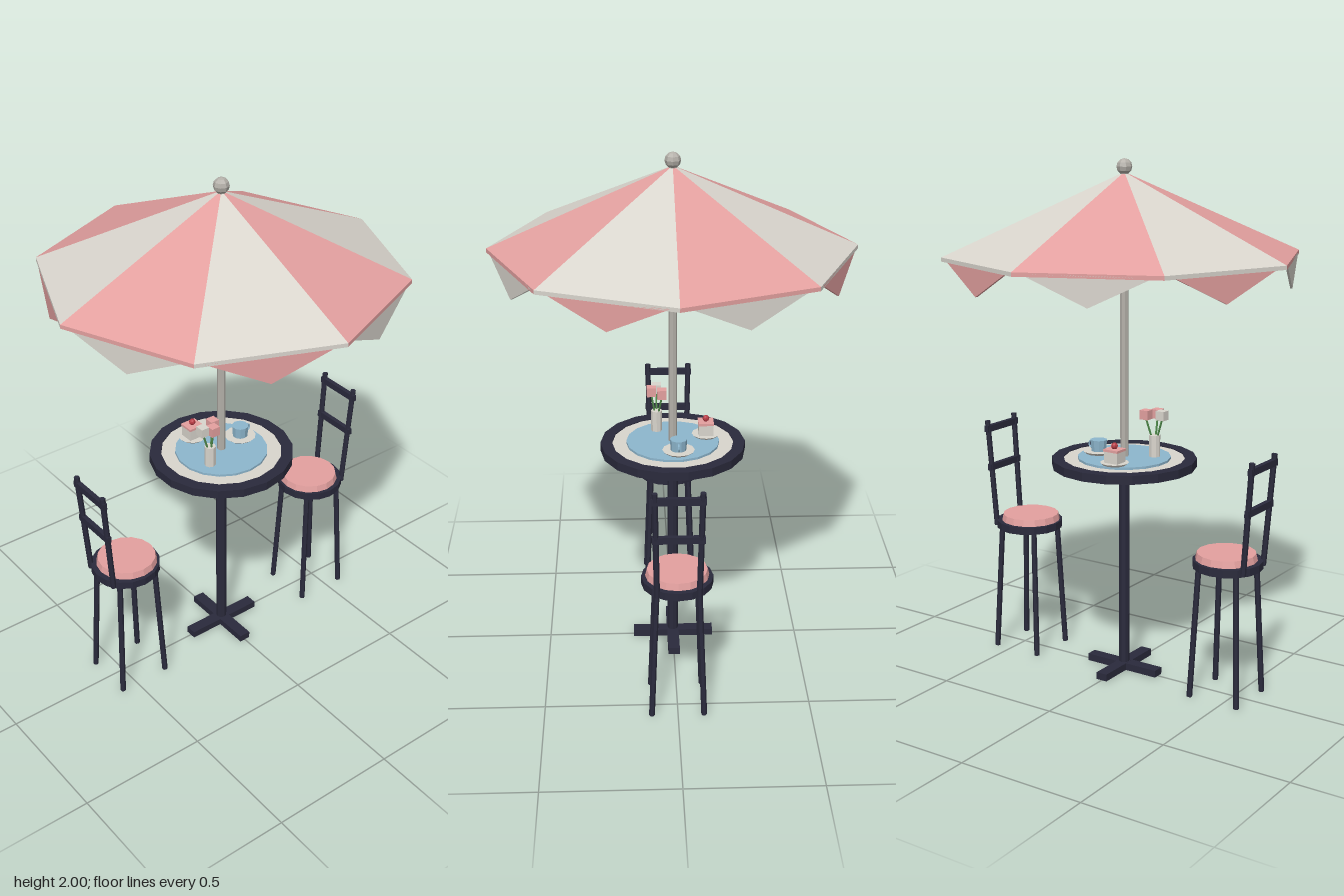
import * as THREE from 'three';
import { ConvexGeometry } from 'three/addons/geometries/ConvexGeometry.js';

const paint = (name, color) => Object.assign(new THREE.MeshStandardMaterial({ color }), { name });
const V = (x, y, z) => new THREE.Vector3(x, y, z);

export function createModel() {
  const root = new THREE.Group();
  root.name = 'cafeTableSet';
  const pink = paint('pink', 0xe3a09f), cream = paint('cream', 0xd9d5cd), dark = paint('darkMetal', 0x2a2a3c);
  const metal = paint('paleMetal', 0xb4b0a9), blue = paint('blue', 0x8db6cd);
  const green = paint('green', 0x4f8a4a), red = paint('red', 0xb83a44);

  // Adds a faceted mesh
  function add(parent, name, geo, mat, x = 0, y = 0, z = 0) {
    const g = geo.index ? geo.toNonIndexed() : geo;
    g.computeVertexNormals();
    const mesh = new THREE.Mesh(g, mat);
    mesh.name = name;
    mesh.position.set(x, y, z);
    parent.add(mesh);
    return mesh;
  }
  const box = (w, h, d) => new THREE.BoxGeometry(w, h, d);
  const cyl = (r, h, n, top = r) => new THREE.CylinderGeometry(top, r, h, n);
  // Round bar between two points
  function rod(parent, name, a, b, r, mat, n = 6) {
    const m = add(parent, name, cyl(r, a.distanceTo(b), n), mat);
    m.position.copy(a).add(b).multiplyScalar(0.5);
    m.quaternion.setFromUnitVectors(V(0, 1, 0), b.clone().sub(a).normalize());
  }
  function group(name, x = 0, y = 0, z = 0) {
    const g = new THREE.Group();
    g.name = name;
    g.position.set(x, y, z);
    root.add(g);
    return g;
  }

  // Parasol: eight slab panels with pointed flaps in the alternate colour
  const parasol = group('parasol');
  const R = 0.68, rimY = 1.65, apexY = 1.95, thick = 0.015;
  for (let k = 0; k < 8; k++) {
    const a = k * Math.PI / 4, b = a + Math.PI / 4, m = a + Math.PI / 8;
    const p = V(R * Math.cos(a), rimY, R * Math.sin(a)), q = V(R * Math.cos(b), rimY, R * Math.sin(b));
    const top = [V(0, apexY, 0), p, q];
    const low = top.map(v => v.clone().setY(v.y - thick));
    add(parasol, 'canopyPanel', new ConvexGeometry([...top, ...low]), k % 2 ? pink : cream);

    const tip = p.clone().lerp(q, 0.5).setY(1.535);
    const outer = [p.clone().lerp(q, 0.06), p.clone().lerp(q, 0.94), tip];
    outer[0].y = outer[1].y = rimY - 0.006;
    const inner = outer.map(v => v.clone().add(V(-0.008 * Math.cos(m), 0, -0.008 * Math.sin(m))));
    add(parasol, 'canopyFlap', new ConvexGeometry([...outer, ...inner]), k % 2 ? cream : pink);
  }
  add(parasol, 'pole', cyl(0.016, 1.08, 8), metal, 0, 1.405, 0);
  add(parasol, 'collar', cyl(0.026, 0.045, 8), metal, 0, 1.8, 0);
  add(parasol, 'finial', new THREE.SphereGeometry(0.03, 8, 6), metal, 0, 1.97, 0);

  // Table
  const table = group('table');
  const rim = [[0.235, 0.832], [0.28, 0.832], [0.28, 0.866], [0.235, 0.866], [0.235, 0.832]];
  add(table, 'tableRim', new THREE.LatheGeometry(rim.map(([x, y]) => new THREE.Vector2(x, y)), 18), dark);
  add(table, 'tableTop', cyl(0.238, 0.024, 18), cream, 0, 0.85, 0);
  add(table, 'tableInlay', cyl(0.18, 0.009, 18), blue, 0, 0.8665, 0);
  add(table, 'pedestal', cyl(0.021, 0.82, 8), dark, 0, 0.43, 0);
  add(table, 'footBarX', box(0.32, 0.028, 0.046), dark, 0, 0.014, 0);
  add(table, 'footBarZ', box(0.046, 0.028, 0.32), dark, 0, 0.0142, 0);

  // Two chairs facing the table
  for (const s of [-1, 1]) {
    const chair = group(s < 0 ? 'rightChair' : 'leftChair', s * 0.465);
    add(chair, 'seat', cyl(0.133, 0.03, 16), dark, 0, 0.525, 0);
    add(chair, 'cushion', cyl(0.118, 0.026, 16, 0.112), pink, -s * 0.006, 0.553, 0);
    for (const z of [-1, 1]) {
      for (const x of [-1, 1]) rod(chair, 'leg', V(x * 0.102, 0, z * 0.098), V(x * 0.08, 0.515, z * 0.078), 0.011, dark);
      rod(chair, 'backPost', V(s * 0.108, 0.515, z * 0.077), V(s * 0.141, 0.948, z * 0.085), 0.011, dark);
    }
    add(chair, 'topRail', box(0.018, 0.026, 0.195), dark, s * 0.139, 0.915, 0);
    add(chair, 'midRail', box(0.018, 0.026, 0.19), dark, s * 0.127, 0.757, 0);
  }

  // Vase with three flowers
  const vase = group('flowerVase', -0.1, 0.87, 0.06);
  add(vase, 'vase', cyl(0.022, 0.085, 8), cream, 0, 0.0425, 0);
  for (const [x, z, mat] of [[-0.033, 0, cream], [0.027, -0.02, pink], [0, 0.02, pink]]) {
    rod(vase, 'stem', V(x * 0.2, 0.06, z * 0.2), V(x, 0.15, z), 0.004, green, 5);
    add(vase, 'blossom', box(0.036, 0.036, 0.036), mat, x, 0.166, z);
  }

  // Cup and saucer
  const cup = group('cupAndSaucer', 0.107, 0.87, -0.018);
  add(cup, 'saucer', cyl(0.05, 0.01, 12, 0.062), cream, 0, 0.006, 0);
  add(cup, 'cup', cyl(0.03, 0.044, 10, 0.033), blue, 0, 0.033, 0);
  add(cup, 'cupHandle', new THREE.TorusGeometry(0.014, 0.004, 5, 10), blue, 0.032, 0.033, 0);

  // Cake on a plate
  const cake = group('cakePlate', -0.043, 0.87, -0.13);
  add(cake, 'plate', cyl(0.045, 0.009, 12, 0.055), cream, 0, 0.0055, 0);
  add(cake, 'cake', box(0.06, 0.044, 0.056), cream, 0, 0.032, 0);
  add(cake, 'icing', box(0.064, 0.009, 0.06), pink, 0, 0.0575, 0);
  add(cake, 'cherry', new THREE.SphereGeometry(0.013, 8, 6), red, 0, 0.073, 0);

  return root;
}
